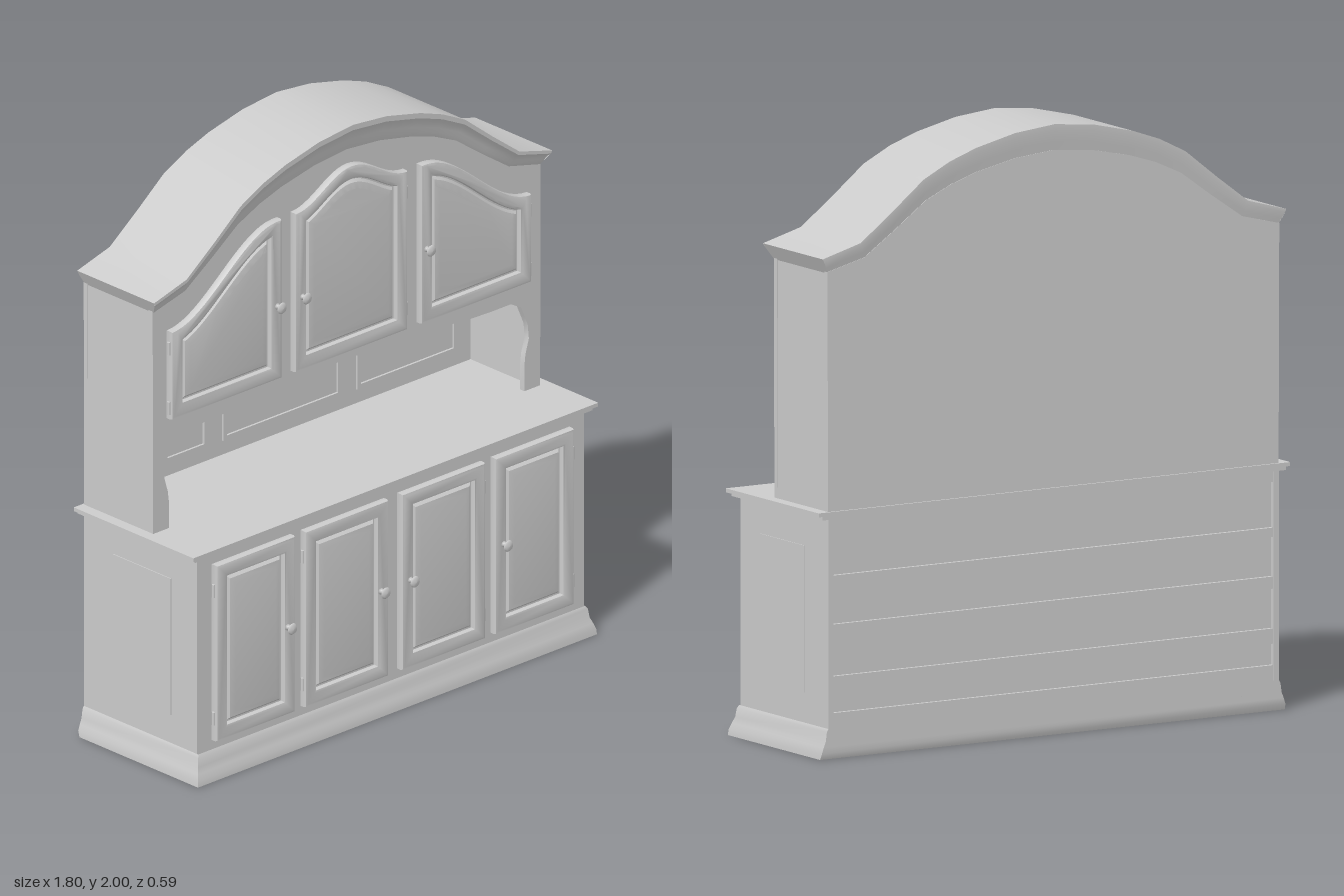
import * as THREE from 'three';
import { toCreasedNormals } from 'three/addons/utils/BufferGeometryUtils.js';

const grey = new THREE.MeshStandardMaterial({ color: 0xcccccc });
const greyThin = new THREE.MeshStandardMaterial({ color: 0xcccccc, side: THREE.DoubleSide });

export function createModel() {
  const root = new THREE.Group();

  const add = (name, geo, parent = root, mat = grey) => {
    const m = new THREE.Mesh(geo, mat);
    m.name = name;
    parent.add(m);
    return m;
  };
  // Box given by its minimum and maximum on each axis
  const box = (name, x0, x1, y0, y1, z0, z1, parent) => {
    const m = add(name, new THREE.BoxGeometry(x1 - x0, y1 - y0, z1 - z0), parent);
    m.position.set((x0 + x1) / 2, (y0 + y1) / 2, (z0 + z1) / 2);
    return m;
  };
  // Outline in x,y extruded from z0 to z1 with an optional bevelled front
  const slab = (name, pts, z0, z1, { hole, bevel = 0, rise = 0 } = {}, parent) => {
    const shape = new THREE.Shape(pts.map(p => new THREE.Vector2(...p)));
    if (hole) shape.holes.push(new THREE.Path(hole.map(p => new THREE.Vector2(...p))));
    const geo = new THREE.ExtrudeGeometry(shape, {
      depth: z1 - z0 - rise, bevelEnabled: bevel > 0, bevelSize: bevel,
      bevelOffset: -bevel, bevelThickness: rise, bevelSegments: 2,
    });
    const m = add(name, toCreasedNormals(geo, 0.5), parent);
    m.position.z = z0;
    return m;
  };
  // Surface through rows of points
  const loft = (name, rows, crease = 0.6) => {
    const n = rows[0].length, index = [];
    for (let r = 0; r < rows.length - 1; r++)
      for (let i = 0; i < n - 1; i++) {
        const a = r * n + i, b = a + n;
        index.push(a, b, a + 1, b, b + 1, a + 1);
      }
    const geo = new THREE.BufferGeometry();
    geo.setAttribute('position', new THREE.Float32BufferAttribute(rows.flat(2), 3));
    geo.setIndex(index);
    return add(name, toCreasedNormals(geo, crease), root, greyThin);
  };
  const mirrored = half => [...half.map(([x, y]) => [-x, y]), ...half.slice(0, -1).reverse()];

  // ---- Lower cabinet ----
  for (const s of [-1, 1]) {
    const x = s * 0.85;
    box('lowerSide', x - 0.01, x + 0.01, 0.08, 0.79, -0.29, 0.24);
    box('lowerSidePanel', s * 0.861 - 0.002, s * 0.861 + 0.002, 0.2, 0.68, -0.15, 0.12);
  }
  box('lowerFront', -0.84, 0.84, 0.08, 0.79, 0.22, 0.24);
  box('lowerBack', -0.84, 0.84, 0.06, 0.79, -0.275, -0.265);
  box('lowerFloor', -0.85, 0.85, 0.06, 0.08, -0.28, 0.24);
  for (const [y, h] of [[0.09, 0.06], [0.22, 0.05], [0.4, 0.04], [0.57, 0.03], [0.75, 0.04]])
    box('backRail', -0.84, 0.84, y, y + h, -0.287, -0.275);

  // Countertop with a stepped edge
  box('countertop', -0.9, 0.9, 0.797, 0.81, -0.295, 0.265);
  box('countertopMoulding', -0.885, 0.885, 0.785, 0.797, -0.293, 0.255);

  // Flared hollow plinth
  const plinth = [[0.1, 0], [0.09, 0.006], [0.06, 0.01], [0.04, 0.018], [0.02, 0.025], [0, 0.027], [0, 0.012], [0.06, 0]];
  loft('plinth', plinth.map(([y, o]) => {
    const x = 0.86 + o, f = 0.246 + o, b = y === 0 ? -0.282 : -0.29;
    return [[-x, y, f], [x, y, f], [x, y, b], [-x, y, b], [-x, y, f]];
  }));

  // ---- Doors, knobs and hinges ----
  const knobProfile = [[0, 0], [0.012, 0], [0.007, 0.006], [0.006, 0.012], [0.015, 0.017], [0.02, 0.022], [0.015, 0.028], [0, 0.03]]
    .map(p => new THREE.Vector2(...p));
  const knobGeo = new THREE.LatheGeometry(knobProfile, 16).rotateX(Math.PI / 2);
  const hingeGeo = new THREE.CylinderGeometry(0.006, 0.006, 0.045, 8);

  const door = (name, x0, x1, y0, top, z, knob, hinges, steps) => {
    const g = new THREE.Group();
    g.name = name;
    root.add(g);
    const outline = d => {
      const pts = [[x0 + d, y0 + d], [x1 - d, y0 + d]];
      for (let i = 0; i <= steps; i++) {
        const x = x1 - d - (x1 - x0 - 2 * d) * i / steps;
        pts.push([x, top(x) - d]);
      }
      return pts;
    };
    slab('doorBoard', outline(0.01), z, z + 0.008, {}, g);
    slab('doorFrame', outline(0), z, z + 0.026, { hole: outline(0.05), bevel: 0.01, rise: 0.009 }, g);
    slab('doorRaisedPanel', outline(0.056), z + 0.006, z + 0.022, { bevel: 0.03, rise: 0.013 }, g);
    add('knob', knobGeo, g).position.set(knob[0], knob[1], z + 0.025);
    for (const y of hinges[1])
      add('hinge', hingeGeo, g).position.set(hinges[0], y, z + 0.012);
  };

  for (const s of [-1, 1]) {
    const span = (a, b) => s > 0 ? [a, b] : [-b, -a];
    const flat = () => 0.75;
    door('lowerInnerDoor', ...span(0.03, 0.4), 0.13, flat, 0.24, [s * 0.065, 0.44], [s * 0.402, [0.21, 0.66]], 1);
    door('lowerOuterDoor', ...span(0.445, 0.795), 0.13, flat, 0.24, [s * 0.48, 0.44], [s * 0.798, [0.21, 0.66]], 1);
    // Side door whose top sweeps up towards the middle
    const sweep = x => {
      const u = THREE.MathUtils.smoothstep(0.8 - Math.abs(x), 0, 0.47);
      return 1.51 + 0.25 * u;
    };
    door('upperSideDoor', ...span(0.31, 0.8), 1.2, sweep, 0.035, [s * 0.332, 1.46], [s * 0.802, [1.24, 1.45]], 20);
  }
  const arched = x => 1.76 + 0.095 * (1 + Math.cos(Math.PI * Math.min(1, Math.abs(x) / 0.25))) / 2;
  door('upperMiddleDoor', -0.25, 0.25, 1.2, arched, 0.035, [-0.22, 1.46], [0.252, [1.27, 1.68]], 24);

  // ---- Arched crown ----
  const arch = mirrored([[0.885, 1.64], [0.74, 1.68], [0.62, 1.77], [0.5, 1.865], [0.4, 1.915], [0.3, 1.95], [0.15, 1.985], [0, 2]]);
  // Arch line dropped towards the foot of the moulding as t goes from 0 to 1
  const crownLine = t => arch.map(([x, y]) => [x * (1 - 0.028 * t), y - t * (0.05 + 0.125 * (y - 1.64))]);
  const crownRow = (t, z) => crownLine(t).map(([x, y]) => [x, y, z]);
  const crownProfile = [[1, -0.285], [0.6, -0.29], [0.2, -0.295], [0, -0.295], [0, 0.065], [0.2, 0.065], [0.35, 0.055], [0.6, 0.047], [0.8, 0.043], [1, 0.036]];
  loft('crown', crownProfile.map(([t, z]) => crownRow(t, z)));
  for (const end of [0, arch.length - 1])
    loft('crownEnd', [[0, -0.295, 0.065], [0.3, -0.295, 0.06], [1, -0.285, 0.036]].map(([t, b, f]) =>
      [crownRow(t, b)[end], crownRow(t, f)[end]]));

  // ---- Upper cabinet ----
  const upperTop = crownLine(0.9).reverse();
  slab('upperBack', [[-0.86, 0.81], [0.86, 0.81], ...upperTop], -0.288, -0.27);

  // Face frame with scalloped valance and curved brackets around the niche
  const niche = mirrored([[0.79, 0.81], [0.79, 0.9], [0.795, 0.94], [0.81, 0.99], [0.805, 1.04], [0.79, 1.075], [0.775, 1.11], [0.73, 1.135],
    [0.64, 1.135], [0.5, 1.14], [0.38, 1.16], [0.32, 1.145], [0.26, 1.122], [0.18, 1.125], [0.1, 1.145], [0.04, 1.165], [0, 1.175]]);
  slab('faceFrame', [[-0.86, 0.81], ...niche, [0.86, 0.81], ...upperTop], 0.015, 0.035);

  for (const s of [-1, 1])
    box('upperSide', s * 0.85 - 0.01, s * 0.85 + 0.01, 0.81, 1.6, -0.285, 0.02);
  box('upperFloor', -0.84, 0.84, 1.18, 1.2, -0.27, 0.015);

  // Framed panels on the niche wall
  for (const [x0, x1] of [[-0.78, -0.335], [-0.265, 0.26], [0.33, 0.775]]) {
    const rect = d => [[x0 + d, 0.86 + d], [x1 - d, 0.86 + d], [x1 - d, 1.13 - d], [x0 + d, 1.13 - d]];
    slab('nichePanelFrame', rect(0), -0.27, -0.262, { hole: rect(0.016) });
  }
  return root;
}
